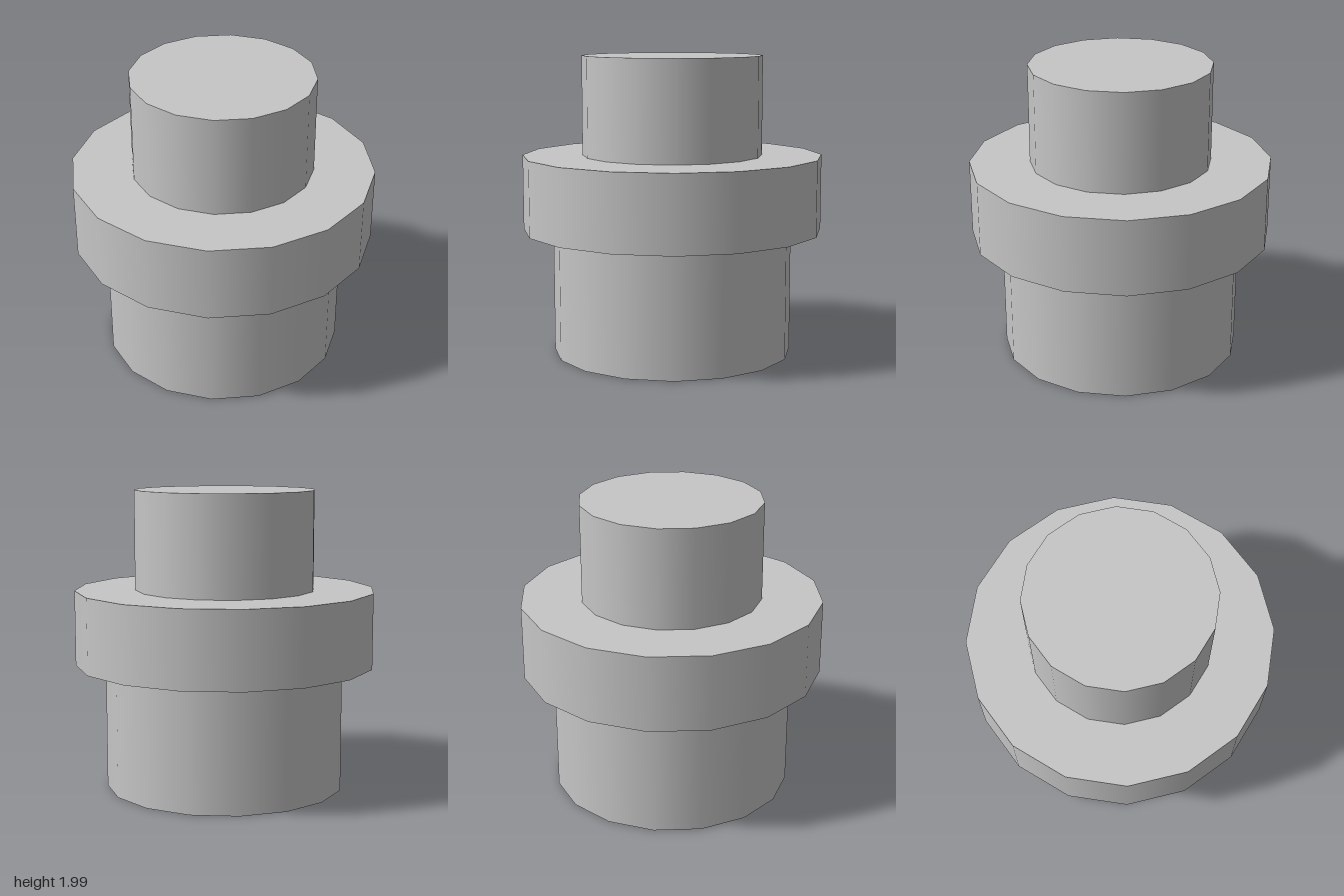
import * as THREE from 'three';
import { mergeGeometries } from 'three/addons/utils/BufferGeometryUtils.js';

const SIDES = 16;

// Revolves each straight run of the [radius, height] profile separately,
// so the walls stay smooth round the axis and the rims stay sharp.
function turned(name, profile, material) {
  const runs = [];
  for (let i = 0; i < profile.length - 1; i++) {
    const ends = [profile[i], profile[i + 1]].map(([r, y]) => new THREE.Vector2(r, y));
    runs.push(new THREE.LatheGeometry(ends, SIDES));
  }
  const mesh = new THREE.Mesh(mergeGeometries(runs), material);
  mesh.name = name;
  return mesh;
}

export function createModel() {
  const group = new THREE.Group();
  group.name = 'flangedPlug';
  const grey = new THREE.MeshStandardMaterial({ color: 0xc6c6c6 });
  grey.name = 'light grey';

  const flangeBottom = 0.83, flangeTop = 1.33, top = 1.99;

  group.add(
    // hollow lower sleeve: bore ceiling, bore wall, bottom rim, outer wall
    turned('lowerSleeve', [[0, flangeBottom], [0.6, flangeBottom], [0.6, 0], [0.8, 0], [0.8, flangeBottom]], grey),
    // wide collar: underside, wall, top face
    turned('flange', [[0.8, flangeBottom], [1, flangeBottom], [1, flangeTop], [0.6, flangeTop]], grey),
    // solid upper boss: wall and cap
    turned('upperBoss', [[0.6, flangeTop], [0.6, top], [0, top]], grey),
  );
  return group;
}
